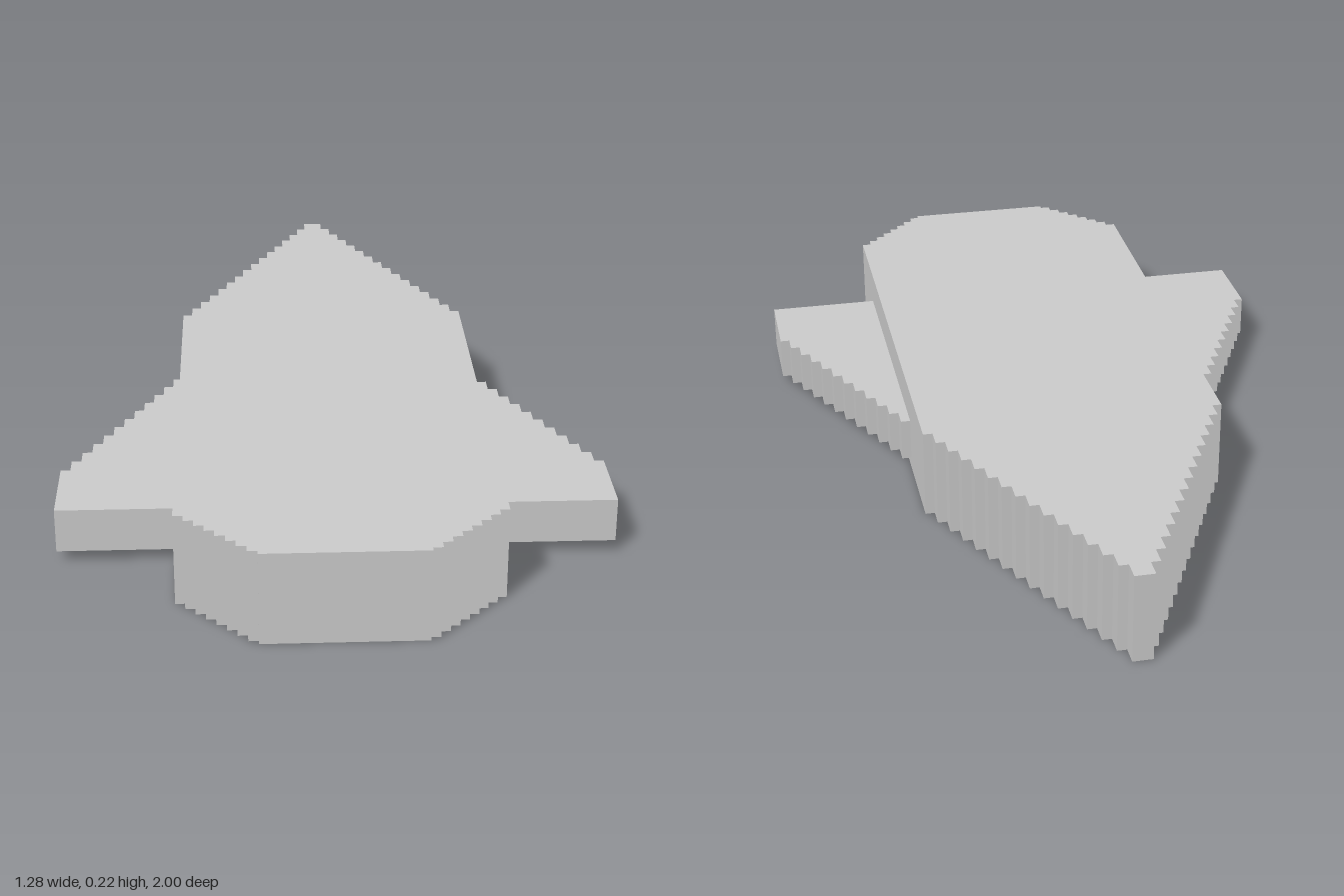
import * as THREE from 'three';

const STEP = 0.0229; // sideways size of one stair step
const material = new THREE.MeshStandardMaterial({ color: 0xcccccc, flatShading: true });

// Stair-stepped edge: at each of `count` z positions, x jumps by dx.
function stairs(x, z, dx, dz, count) {
  const points = [];
  for (let i = 0; i < count; i++) {
    points.push([x + i * dx, z + i * dz], [x + (i + 1) * dx, z + i * dz]);
  }
  return points;
}

// Flat slab from a plan outline of [x, z] points, between two heights.
function slab(name, outline, bottom, top) {
  const shape = new THREE.Shape(outline.map(([x, z]) => new THREE.Vector2(x, z)));
  const geometry = new THREE.ExtrudeGeometry(shape, { depth: top - bottom, bevelEnabled: false });
  geometry.rotateX(Math.PI / 2).translate(0, top, 0);
  const mesh = new THREE.Mesh(geometry, material);
  mesh.name = name;
  return mesh;
}

const mirror = (points) => points.map(([x, z]) => [-x, z]).reverse();

export function createModel() {
  const group = new THREE.Group();
  group.name = 'steppedArrowCraft';

  // Hull: pointed stepped nose at the back, chamfered stepped end at the front
  const half = 0.024 + 15 * STEP;
  const hullSide = [
    [0.024, -1],
    ...stairs(0.024, -0.954, STEP, 0.0464, 15),
    ...stairs(half, 0.825, -STEP, 0.0232, 8),
    [half - 8 * STEP, 1],
  ];
  group.add(slab('hull', [...hullSide, ...mirror(hullSide)], 0, 0.22));

  // Wings: swept stepped edge, straight edge toward the front
  const tip = half + 12 * STEP;
  const wing = [
    [half - 0.02, -0.078],
    ...stairs(half, -0.078, STEP, 0.0462, 12),
    [tip, 0.63],
    [half - 0.02, 0.63],
  ];
  group.add(slab('leftWing', wing, 0.03, 0.135));
  group.add(slab('rightWing', mirror(wing), 0.03, 0.135));

  return group;
}
